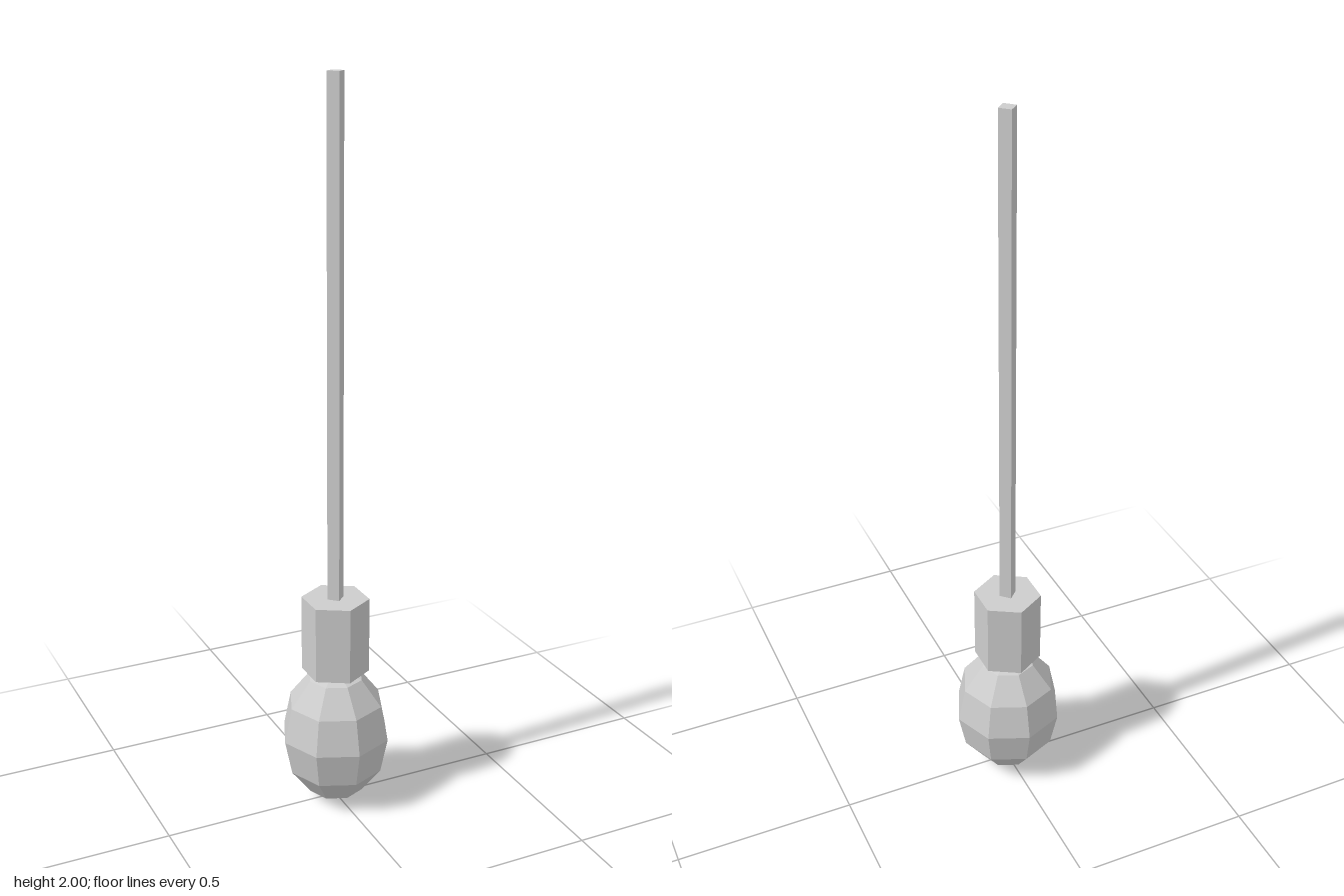
import * as THREE from 'three';

export function createModel() {
  const group = new THREE.Group();
  const grey = new THREE.MeshStandardMaterial({ color: 0xcccccc, flatShading: true });
  grey.name = 'light grey';

  const add = (name, geometry, y) => {
    const mesh = new THREE.Mesh(geometry, grey);
    mesh.name = name;
    mesh.position.y = y;
    group.add(mesh);
  };

  // upright prism between two heights
  const prism = (name, radius, sides, bottom, top) =>
    add(name, new THREE.CylinderGeometry(radius, radius, top - bottom, sides), (bottom + top) / 2);

  // square hanging cord and six-sided socket
  prism('cord', 0.024, 4, 0.61, 2);
  prism('socket', 0.093, 6, 0.394, 0.61);

  // faceted bulb, taller than wide, its tip tucked into the socket
  add('bulb', new THREE.SphereGeometry(0.2, 8, 6).scale(0.77, 1, 0.77), 0.2);

  return group;
}
